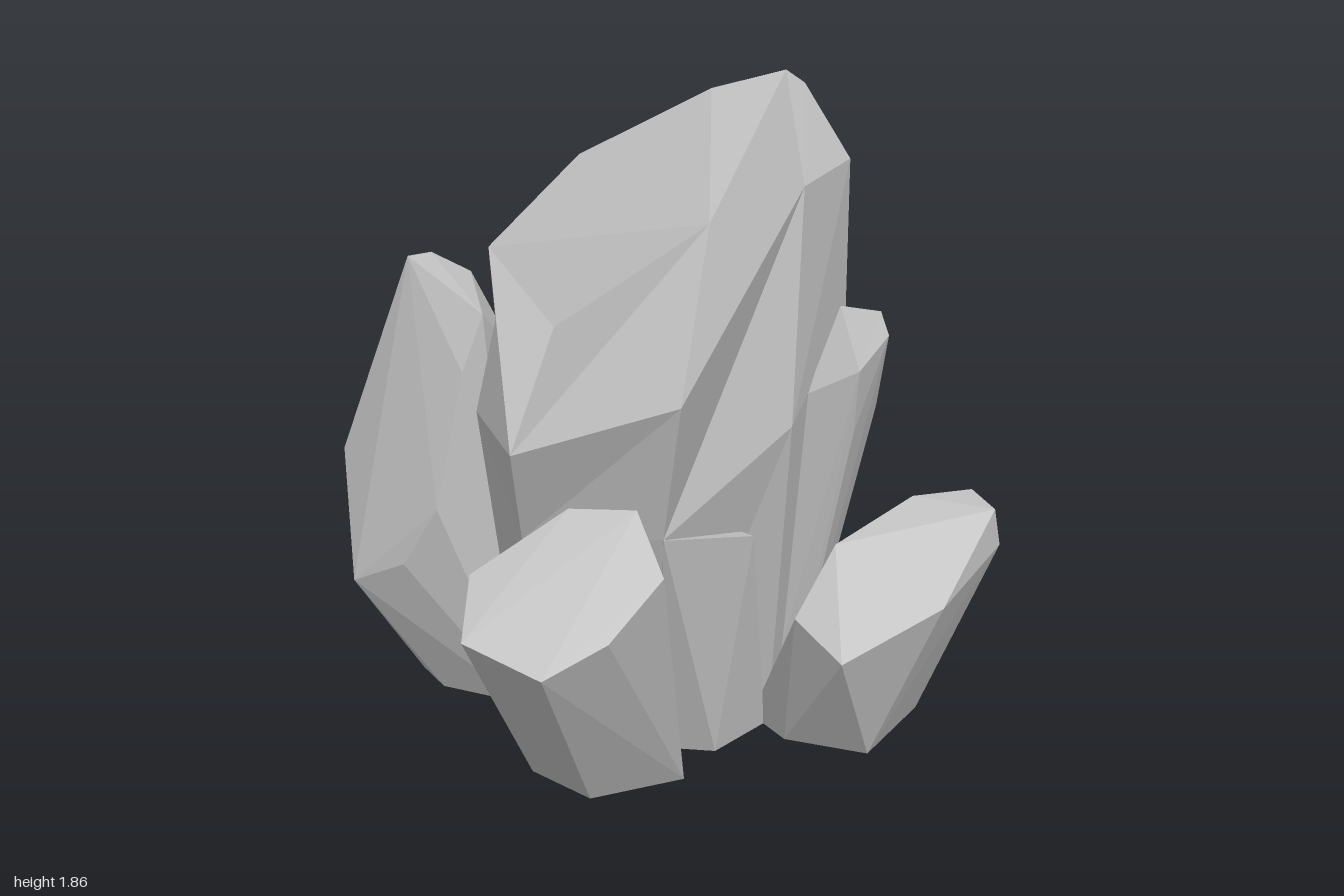
import * as THREE from 'three';
import { ConvexGeometry } from 'three/addons/geometries/ConvexGeometry.js';

// A small crystal is the faceted solid between its footprint [x, z] and its slanted cap [x, y, z].
function crystal(name, material, feet, tips) {
  const points = [
    ...feet.map(([x, z]) => new THREE.Vector3(x, 0, z)),
    ...tips.map((p) => new THREE.Vector3(...p)),
  ];
  const mesh = new THREE.Mesh(new ConvexGeometry(points), material);
  mesh.name = name;
  return mesh;
}

// The tall crystal: three rings of ten corners, counter-clockwise from the front left of the cap.
function mainCrystal(material) {
  const foot = [[-0.3, 0, 0.15], [0.04, 0, 0.18], [0.35, 0, -0.03], [0.48, 0, -0.41], [0.12, 0, -0.68],
    [0.1, 0, -0.68], [0, 0, -0.667], [-0.3, 0, -0.63], [-0.4, 0, -0.5], [-0.4, 0, -0.07]];
  const waist = [[-0.33, 0.69, 0.32], [0.06, 0.71, 0.35], [0.4, 0.95, 0.06], [0.56, 1.15, -0.5], [0.27, 0.9, -0.75],
    [0.23, 0.9, -0.75], [0.05, 0.9, -0.71], [-0.29, 0.8, -0.64], [-0.5, 0.8, -0.44], [-0.51, 0.95, -0.02]];
  const cap = [[-0.34, 0.96, 0.42], [0.11, 1.1, 0.42], [0.42, 1.59, -0.17], [0.56, 1.62, -0.54], [0.42, 1.82, -0.82],
    [0.36, 1.86, -0.82], [0.13, 1.81, -0.72], [-0.28, 1.61, -0.65], [-0.53, 1.36, -0.4], [-0.46, 1.21, -0.1]];
  const dent = [-0.3, 1.17, -0.16];
  const ridge = [0.15, 1.47, -0.22];
  const baseCentre = [0, 0, -0.25];
  const n = cap.length;
  const index = [];

  // Walls and base
  for (let i = 0; i < n; i++) {
    const j = (i + 1) % n;
    for (const r of [0, n]) index.push(r + i, r + j, r + n + j, r + i, r + n + j, r + n + i);
    index.push(3 * n + 2, j, i);
  }
  // Slanted cap, dented on its left side
  const P = 10, Q = 11;
  const capFaces = [[Q, 0, 1], [Q, 1, 2], [Q, 2, 5], [2, 3, 4], [2, 4, 5], [Q, 5, 6], [Q, 6, 7],
    [Q, 7, 8], [Q, 8, P], [Q, P, 0], [P, 8, 9], [P, 9, 0]];
  capFaces.forEach((f) => index.push(...f.map((k) => k + 2 * n)));

  const points = [...foot, ...waist, ...cap, dent, ridge, baseCentre];
  const indexed = new THREE.BufferGeometry();
  indexed.setAttribute('position', new THREE.Float32BufferAttribute(points.flat(), 3));
  indexed.setIndex(index);
  const geometry = indexed.toNonIndexed();
  geometry.computeVertexNormals();
  const mesh = new THREE.Mesh(geometry, material);
  mesh.name = 'mainCrystal';
  return mesh;
}

export function createModel() {
  const group = new THREE.Group();
  group.name = 'crystalCluster';
  const stone = new THREE.MeshStandardMaterial({ color: 0xb8b8b8, flatShading: true });
  stone.name = 'grey stone';

  group.add(mainCrystal(stone));

  // Low facet leaning on the front of the central crystal
  group.add(crystal('frontFacet', stone,
    [[0.04, 0.18], [0.2, 0.19], [0.34, 0], [0, 0]],
    [[0.06, 0.71, 0.355], [0.3, 0.65, 0.14], [0, 0.7, 0]]));

  // Crystal leaning forward
  group.add(crystal('frontCrystal', stone,
    [[-0.31, 0.35], [-0.13, 0.49], [0.12, 0.36], [0.08, 0.17], [-0.2, 0.15], [-0.31, 0.22]],
    [[-0.42, 0.7, 0.61], [-0.18, 0.84, 0.48], [0, 0.84, 0.48], [0.08, 0.7, 0.6],
      [-0.05, 0.57, 0.73], [-0.21, 0.5, 0.81], [-0.42, 0.57, 0.75]]));

  // Short crystal leaning out to the left side
  group.add(crystal('leftCrystal', stone,
    [[0.4, 0.1], [0.64, 0.17], [0.8, -0.14], [0.74, -0.26], [0.4, -0.26], [0.3, -0.05]],
    [[0.42, 0.44, 0.23], [0.55, 0.35, 0.33], [0.83, 0.48, 0.22], [0.98, 0.71, 0.03], [1, 0.6, 0.02],
      [0.92, 0.745, -0.04], [0.75, 0.73, -0.01], [0.53, 0.62, 0.11], [0.81, 0.5, -0.13]]));

  // Slim crystal behind it
  group.add(crystal('slimCrystal', stone,
    [[0.34, -0.12], [0.42, -0.15], [0.45, -0.28], [0.4, -0.35]],
    [[0.44, 1, -0.1], [0.59, 1.07, -0.1], [0.68, 1.14, -0.26], [0.66, 1.19, -0.36], [0.54, 1.2, -0.38],
      [0.58, 0.88, -0.12], [0.66, 0.88, -0.42], [0.52, 0.85, -0.43]]));

  // Broad crystal leaning out to the right side
  group.add(crystal('rightCrystal', stone,
    [[-0.76, -0.3], [-0.67, -0.17], [-0.4, -0.07], [-0.38, -0.45], [-0.62, -0.51]],
    [[-1, 0.72, -0.36], [-0.92, 0.38, -0.1], [-0.75, 0.46, -0.04], [-0.64, 0.64, -0.03],
      [-0.58, 1.02, -0.18], [-0.53, 1.18, -0.27], [-0.6, 1.27, -0.47], [-0.72, 1.33, -0.46],
      [-0.79, 1.32, -0.44], [-0.59, 1.1, -0.52], [-0.46, 1, -0.47]]));

  return group;
}
